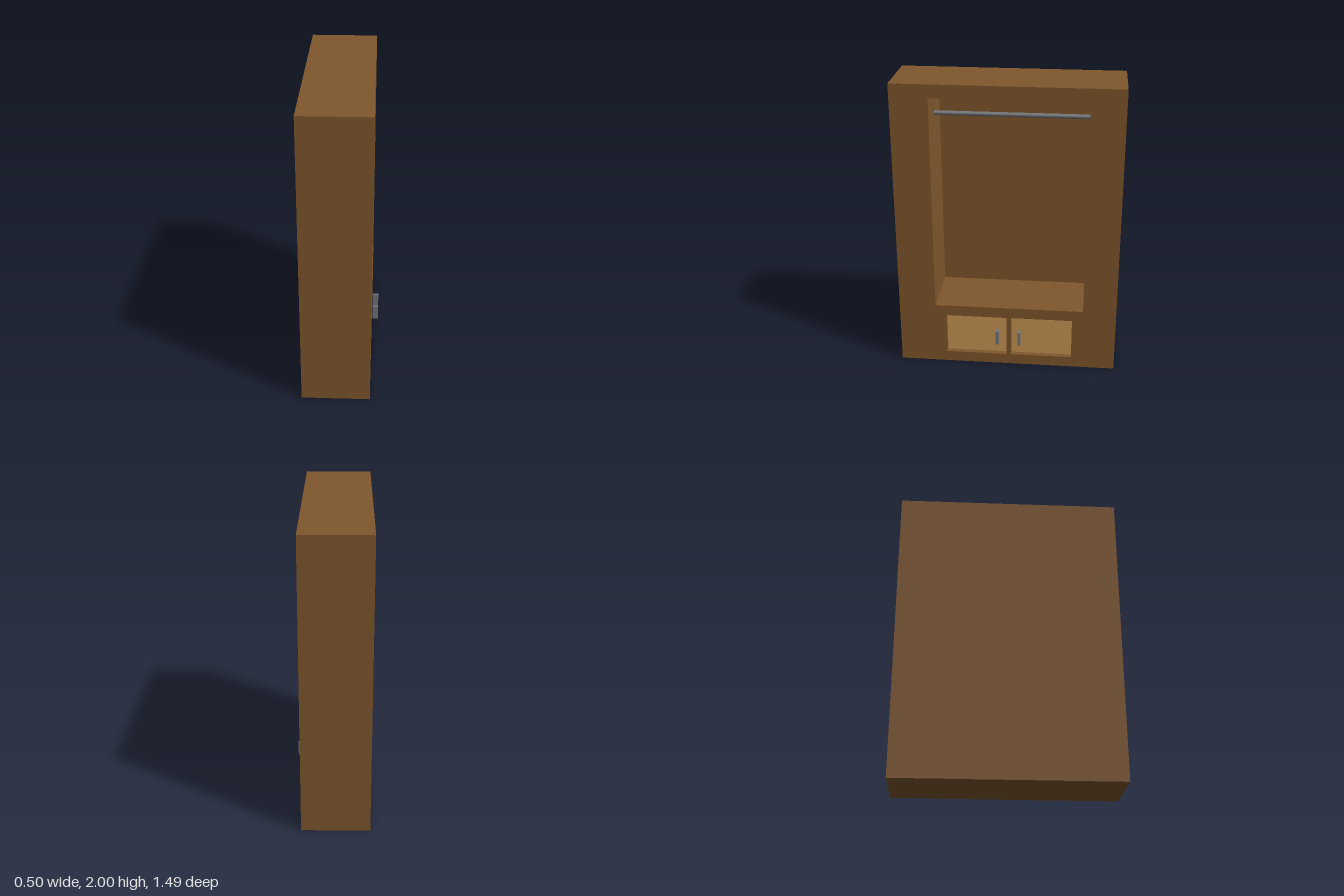
import * as THREE from 'three';

const FRONT = 0.2, BACK = -0.25, HEIGHT = 2, HALF_WIDTH = 0.745;
const INNER_BACK = -0.22, DOOR_FACE = 0.166;

const material = (color) => new THREE.MeshStandardMaterial({ color });

// Openings in the front face, as z and y ranges
const wardrobeOpening = { z0: -0.52, z1: 0.495, y0: 0.44, y1: 1.91 };
const doorOpenings = [
  { name: 'leftDoor', z0: 0.003, z1: 0.42, y0: 0.075, y1: 0.365, handleZ: 0.064 },
  { name: 'rightDoor', z0: -0.447, z1: -0.028, y0: 0.075, y1: 0.365, handleZ: -0.086 },
];

// Rectangle outline; the shape's x axis becomes -z once the carcass is turned
function outline(PathType, { z0, z1, y0, y1 }) {
  const path = new PathType();
  path.moveTo(-z1, y0);
  path.lineTo(-z0, y0);
  path.lineTo(-z0, y1);
  path.lineTo(-z1, y1);
  path.closePath();
  return path;
}

export function createModel() {
  const group = new THREE.Group();
  const wood = material(0x80572c);
  const doorWood = material(0xcc9655);
  const metal = material(0x74767a);

  const add = (name, geometry, mat, x, y, z) => {
    const mesh = new THREE.Mesh(geometry, mat);
    mesh.name = name;
    mesh.position.set(x, y, z);
    group.add(mesh);
    return mesh;
  };
  // Box given by its minimum and maximum on each axis
  const addBox = (name, mat, x0, x1, y0, y1, z0, z1) =>
    add(name, new THREE.BoxGeometry(x1 - x0, y1 - y0, z1 - z0), mat,
      (x0 + x1) / 2, (y0 + y1) / 2, (z0 + z1) / 2);

  // Carcass with the hanging space and the two door recesses cut out
  const shape = outline(THREE.Shape, { z0: -HALF_WIDTH, z1: HALF_WIDTH, y0: 0, y1: HEIGHT });
  for (const o of [wardrobeOpening, ...doorOpenings]) shape.holes.push(outline(THREE.Path, o));
  const carcass = new THREE.ExtrudeGeometry(shape, { depth: FRONT - INNER_BACK, bevelEnabled: false });
  carcass.rotateY(Math.PI / 2);
  add('carcass', carcass, wood, INNER_BACK, 0, 0);

  // Back panel
  addBox('backPanel', wood, BACK, INNER_BACK, 0, HEIGHT, -HALF_WIDTH, HALF_WIDTH);

  // Inset cupboard doors and their handles
  for (const d of doorOpenings) {
    addBox(d.name, doorWood, INNER_BACK, DOOR_FACE, d.y0, d.y1, d.z0, d.z1);
    addBox(d.name + 'Handle', metal, 0.205, 0.245, 0.175, 0.275, d.handleZ - 0.01, d.handleZ + 0.01);
  }

  // Clothes rail across the hanging space
  const { z0, z1 } = wardrobeOpening;
  const rail = new THREE.CylinderGeometry(0.015, 0.015, z1 - z0, 16);
  rail.rotateX(Math.PI / 2);
  add('clothesRail', rail, metal, -0.02, 1.752, (z0 + z1) / 2);

  return group;
}
